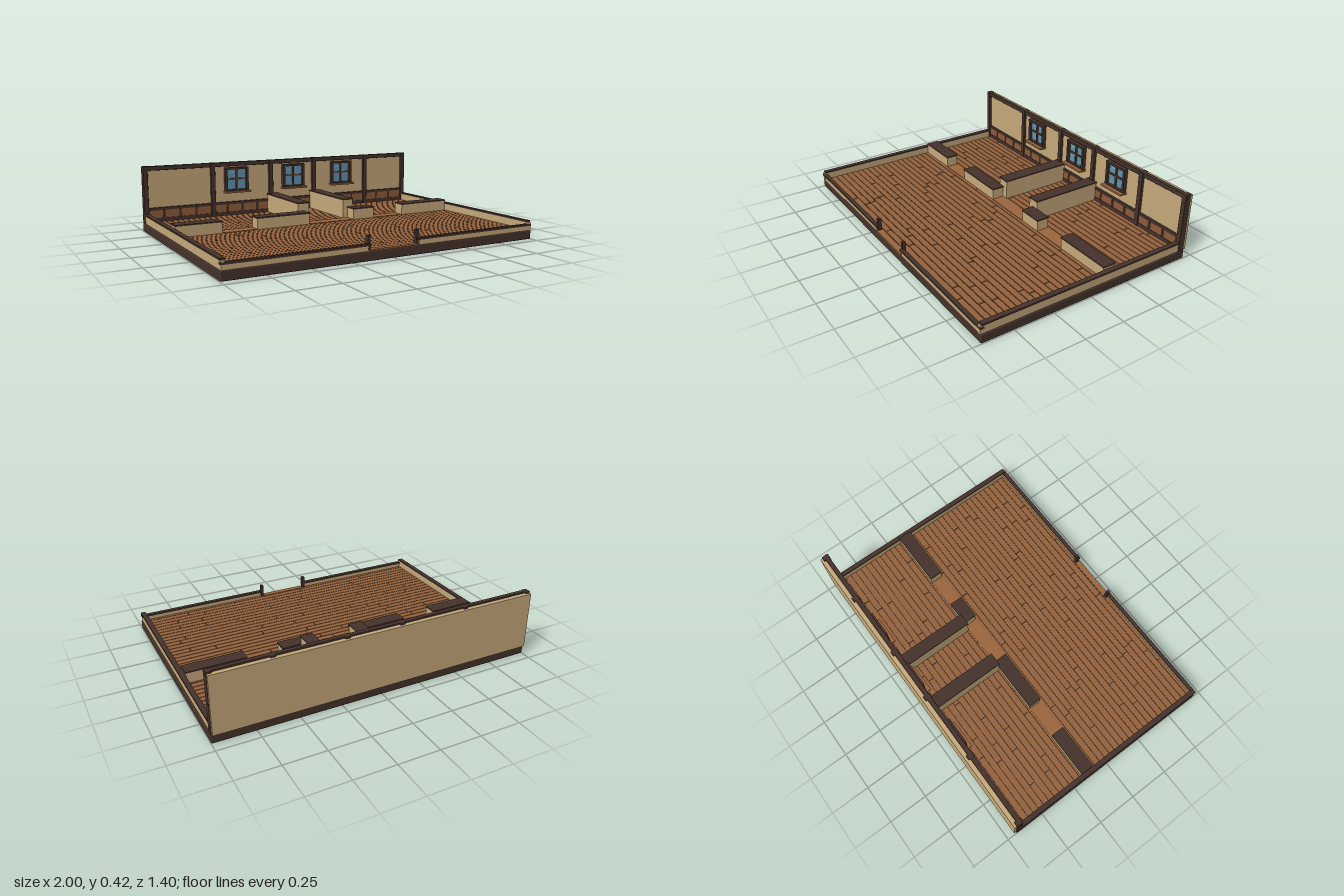
import * as THREE from 'three';
import { RoundedBoxGeometry } from 'three/addons/geometries/RoundedBoxGeometry.js';

const material = (name, color) => {
  const m = new THREE.MeshStandardMaterial({ color });
  m.name = name;
  return m;
};

export function createModel() {
  const model = new THREE.Group();
  model.name = 'tavernRoom';

  const timber = material('dark timber', 0x46332c);
  const plaster = material('plaster', 0xc8ab7c);
  const plank = material('plank wood', 0x96633d);
  const trim = material('trim wood', 0x9c673f);
  const panel = material('panel wood', 0x8f5c3a);
  const muntin = material('window wood', 0x5f3f2e);
  const glass = material('window glass', 0x6396b0);
  const glint = material('glass glint', 0x9cc3d4);

  const group = (name) => {
    const g = new THREE.Group();
    g.name = name;
    model.add(g);
    return g;
  };
  // Box given by its limits along each axis; r rounds the edges
  const box = (parent, name, mat, [x0, x1], [y0, y1], [z0, z1], r = 0) => {
    const w = x1 - x0, h = y1 - y0, d = z1 - z0;
    const geo = r ? new RoundedBoxGeometry(w, h, d, 2, r) : new THREE.BoxGeometry(w, h, d);
    const mesh = new THREE.Mesh(geo, mat);
    mesh.name = name;
    mesh.position.set((x0 + x1) / 2, (y0 + y1) / 2, (z0 + z1) / 2);
    parent.add(mesh);
    return mesh;
  };

  // Foundation slab
  box(model, 'foundation', timber, [-1, 1], [0, 0.056], [-0.69, 0.7], 0.008);

  // Floorboards in rows with staggered joints
  const floor = group('floor');
  let seed = 11;
  const random = () => {
    seed = (seed * 16807) % 2147483647;
    return seed / 2147483647;
  };
  const rows = 35, zBack = -0.66, pitch = (0.698 - zBack) / rows, gap = 0.0045;
  for (let i = 0; i < rows; i++) {
    const z = zBack + i * pitch;
    let x = -0.985;
    let length = 0.15 + random() * 0.6;
    while (x < 0.985) {
      let end = x + length;
      if (end > 0.87) end = 0.985;
      box(floor, 'floorboard', plank, [x, end - gap], [0.05, 0.061], [z + gap / 2, z + pitch - gap / 2]);
      x = end;
      length = 0.4 + random() * 0.5;
    }
  }

  // Thresholds in the doorways
  for (const [a, b] of [[-0.68, -0.46], [-0.1, 0.22], [0.38, 0.6]])
    box(floor, 'threshold', trim, [a, b], [0.055, 0.064], [-0.18, -0.1]);
  box(floor, 'entranceThreshold', trim, [-0.155, 0.155], [0.055, 0.064], [0.665, 0.7]);

  // Low side and front walls with timber caps
  const outer = group('outerLowWalls');
  for (const s of [-1, 1]) {
    const span = (a, b) => (s > 0 ? [a, b] : [-b, -a]);
    box(outer, 'sideWall', plaster, span(0.972, 0.994), [0.055, 0.106], [-0.66, 0.7]);
    box(outer, 'sideCap', timber, span(0.968, 0.998), [0.105, 0.115], [-0.66, 0.692]);
    box(outer, 'frontWall', plaster, span(0.165, 0.972), [0.055, 0.084], [0.68, 0.698]);
    box(outer, 'frontCap', timber, span(0.15, 0.996), [0.083, 0.095], [0.678, 0.702]);
    box(outer, 'entrancePost', timber, span(0.148, 0.166), [0.055, 0.14], [0.668, 0.69]);
  }

  // Interior partitions
  const partitions = group('partitions');
  const partition = (xs, zs, top) => {
    const inset = 0.003;
    box(partitions, 'partition', plaster, [xs[0] + inset, xs[1] - inset], [0.055, top - 0.007], [zs[0] + inset, zs[1] - inset]);
    box(partitions, 'partitionCap', timber, xs, [top - 0.008, top], zs);
  };
  for (const xs of [[-0.97, -0.68], [-0.46, -0.1], [0.22, 0.38], [0.6, 0.97]])
    partition(xs, [-0.185, -0.1], 0.135);
  for (const xs of [[-0.145, -0.06], [0.185, 0.265]])
    partition(xs, [-0.66, -0.18], 0.188);

  // Back wall with timber framing
  const back = group('backWall');
  box(back, 'backPlaster', plaster, [-0.995, 0.995], [0.057, 0.41], [-0.703, -0.664]);
  box(back, 'topBeam', timber, [-1, 1], [0.392, 0.42], [-0.677, -0.65], 0.003);
  box(back, 'middleRail', timber, [-0.99, 0.99], [0.135, 0.152], [-0.67, -0.65]);
  box(back, 'baseboard', timber, [-0.99, 0.99], [0.055, 0.084], [-0.67, -0.65]);
  for (const x of [-0.983, -0.535, -0.115, 0.22, 0.645, 0.983])
    box(back, 'wallPost', timber, [x - 0.015, x + 0.015], [0.055, 0.42], [-0.688, -0.646], 0.003);

  // Wainscot boards over a dark backing
  box(back, 'wainscotBacking', timber, [-0.98, 0.98], [0.08, 0.14], [-0.67, -0.66]);
  for (let i = -9; i < 9; i++) {
    const x = i * 0.108;
    box(back, 'wainscotBoard', panel, [x + 0.001, x + 0.094], [0.08, 0.137], [-0.662, -0.654]);
  }

  // Windows
  for (const cx of [-0.37, 0.055, 0.44]) {
    const w = new THREE.Group();
    w.name = 'window';
    w.position.x = cx;
    back.add(w);
    box(w, 'glass', glass, [-0.075, 0.075], [0.225, 0.375], [-0.665, -0.656]);
    for (const s of [-1, 1])
      box(w, 'frameSide', timber, [s * 0.075 - 0.008, s * 0.075 + 0.008], [0.224, 0.382], [-0.665, -0.638]);
    box(w, 'frameTop', timber, [-0.083, 0.083], [0.37, 0.384], [-0.665, -0.636]);
    box(w, 'frameBottom', timber, [-0.083, 0.083], [0.224, 0.235], [-0.665, -0.638]);
    box(w, 'verticalMuntin', muntin, [-0.005, 0.005], [0.23, 0.375], [-0.66, -0.645]);
    box(w, 'horizontalMuntin', muntin, [-0.07, 0.07], [0.3, 0.31], [-0.66, -0.646]);
    box(w, 'glint', glint, [-0.048, -0.02], [0.344, 0.349], [-0.657, -0.655]).rotation.z = 0.2;
    box(w, 'sill', trim, [-0.09, 0.09], [0.215, 0.226], [-0.665, -0.612]);
  }

  return model;
}
